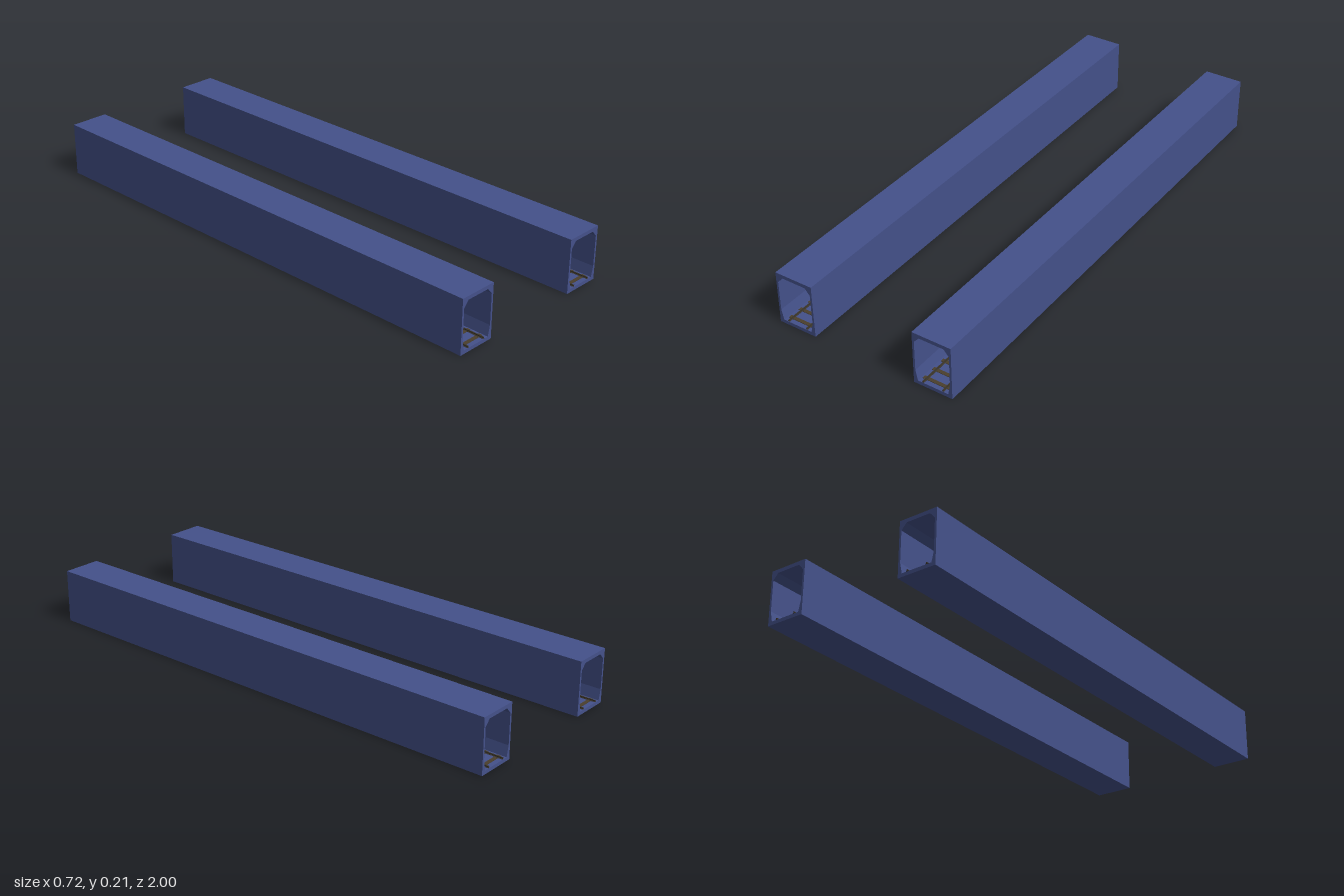
import * as THREE from 'three';

const LENGTH = 2;
const FLOOR = 0.0135;

const concreteBlue = new THREE.MeshStandardMaterial({ color: 0x44518a });
concreteBlue.name = 'concreteBlue';
const railSteel = new THREE.MeshStandardMaterial({ color: 0x3a3428 });
railSteel.name = 'railSteel';
const sleeperBrown = new THREE.MeshStandardMaterial({ color: 0x4a3f2c });
sleeperBrown.name = 'sleeperBrown';

// Mirror half a profile (x >= 0, bottom to top) into a closed outline
function mirrored(half) {
  const left = half.map(([x, y]) => [-x, y]).reverse();
  return [...half, ...left].map(([x, y]) => new THREE.Vector2(x, y));
}

// Sweep a profile along the full length, centred on z = 0
function sweep(shape, material, name) {
  const geometry = new THREE.ExtrudeGeometry(shape, { depth: LENGTH, bevelEnabled: false });
  geometry.translate(0, 0, -LENGTH / 2);
  const mesh = new THREE.Mesh(geometry, material);
  mesh.name = name;
  return mesh;
}

function createTunnel(name) {
  const tunnel = new THREE.Group();
  tunnel.name = name;

  // Box section with haunched ceiling and tapered wall feet
  const section = new THREE.Shape(mirrored([[0.077, 0], [0.077, 0.209]]));
  section.holes.push(new THREE.Path(mirrored([
    [0.0605, FLOOR], [0.069, 0.054], [0.069, 0.172], [0.0485, 0.195],
  ])));
  tunnel.add(sweep(section, concreteBlue, 'tunnelShell'));

  // Sleepers
  const sleeperGeometry = new THREE.BoxGeometry(0.109, 0.002, 0.014);
  const count = 40;
  for (let i = 0; i < count; i++) {
    const sleeper = new THREE.Mesh(sleeperGeometry, sleeperBrown);
    sleeper.name = 'sleeper';
    sleeper.position.set(0, FLOOR + 0.001, -LENGTH / 2 + (i + 0.5) * LENGTH / count);
    tunnel.add(sleeper);
  }

  // Rails with foot, web and head
  const railShape = new THREE.Shape(mirrored([
    [0.0038, 0], [0.0038, 0.001], [0.0009, 0.0018], [0.0009, 0.0042], [0.0022, 0.0046], [0.0022, 0.0062],
  ]));
  for (const side of [-1, 1]) {
    const rail = sweep(railShape, railSteel, side > 0 ? 'leftRail' : 'rightRail');
    rail.position.set(side * 0.0397, FLOOR + 0.0015, 0);
    tunnel.add(rail);
  }
  return tunnel;
}

export function createModel() {
  const model = new THREE.Group();
  model.name = 'twinRailTunnels';
  for (const side of [-1, 1]) {
    const tunnel = createTunnel(side > 0 ? 'leftTunnel' : 'rightTunnel');
    tunnel.position.x = side * 0.285;
    model.add(tunnel);
  }
  return model;
}
